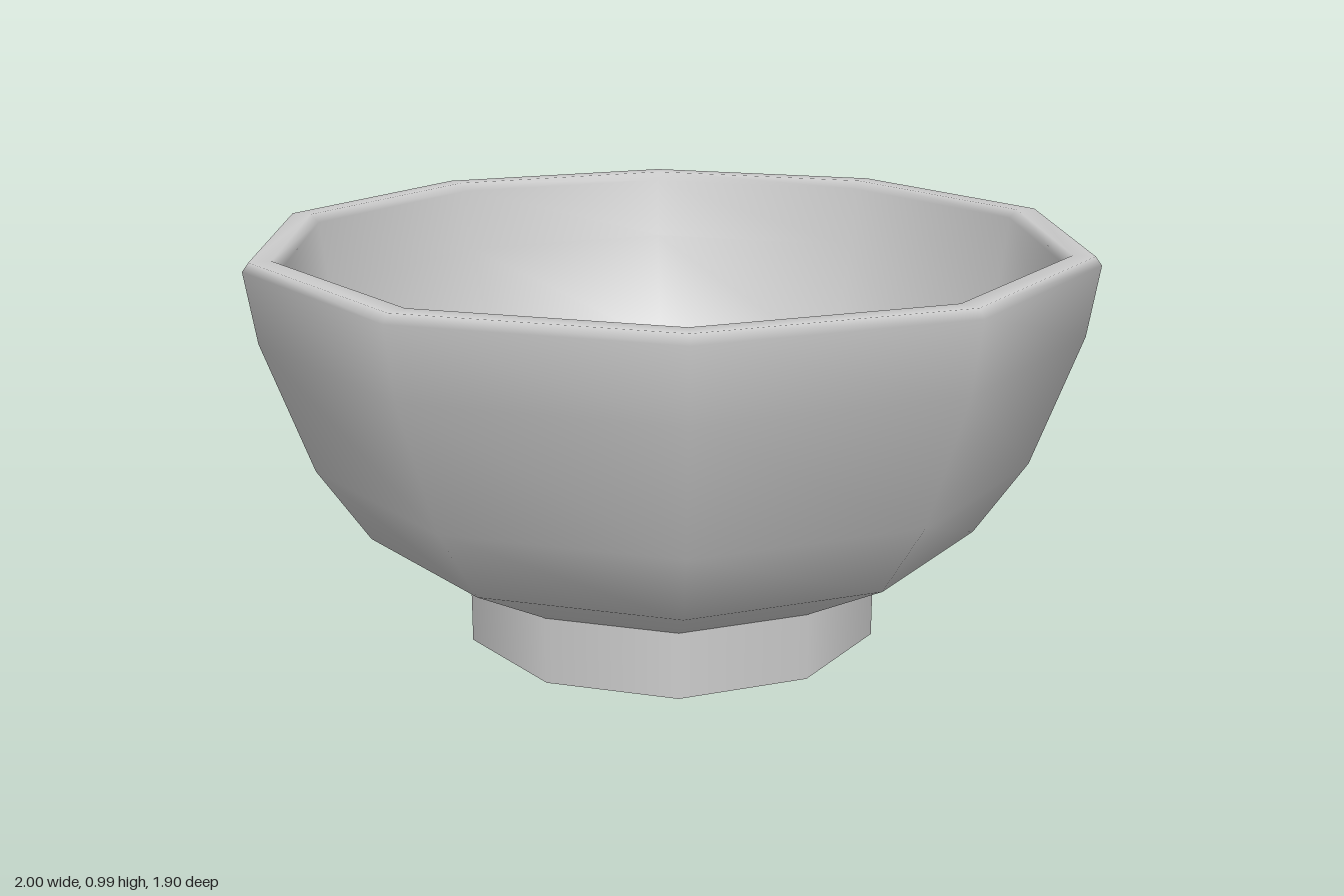
import * as THREE from 'three';

const SIDES = 10;

// Revolves a profile of [radius, height] pairs into ten sides, with corners on the x axis
function turned(name, profile, material) {
  const points = profile.map(([r, y]) => new THREE.Vector2(r, y));
  const mesh = new THREE.Mesh(new THREE.LatheGeometry(points, SIDES, Math.PI / 2), material);
  mesh.name = name;
  return mesh;
}

export function createModel() {
  const group = new THREE.Group();
  group.name = 'bowl';
  const material = new THREE.MeshStandardMaterial({ color: 0xcccccc, side: THREE.DoubleSide });

  // Outer wall, rounded rim and inner wall down to the floor
  group.add(turned('bowlShell', [
    [0.51, 0.18], [0.745, 0.31], [0.865, 0.49], [0.975, 0.80],
    [1.0, 0.965], [0.985, 0.985], [0.935, 0.985], [0.915, 0.965],
    [0.895, 0.81], [0.79, 0.52], [0.68, 0.37], [0.46, 0.25], [0, 0.22],
  ], material));

  // Foot ring wall
  group.add(turned('foot', [[0.51, 0.02], [0.51, 0.18]], material));

  // Slightly bulging underside
  group.add(turned('footBase', [[0, 0], [0.51, 0.02]], material));

  return group;
}
